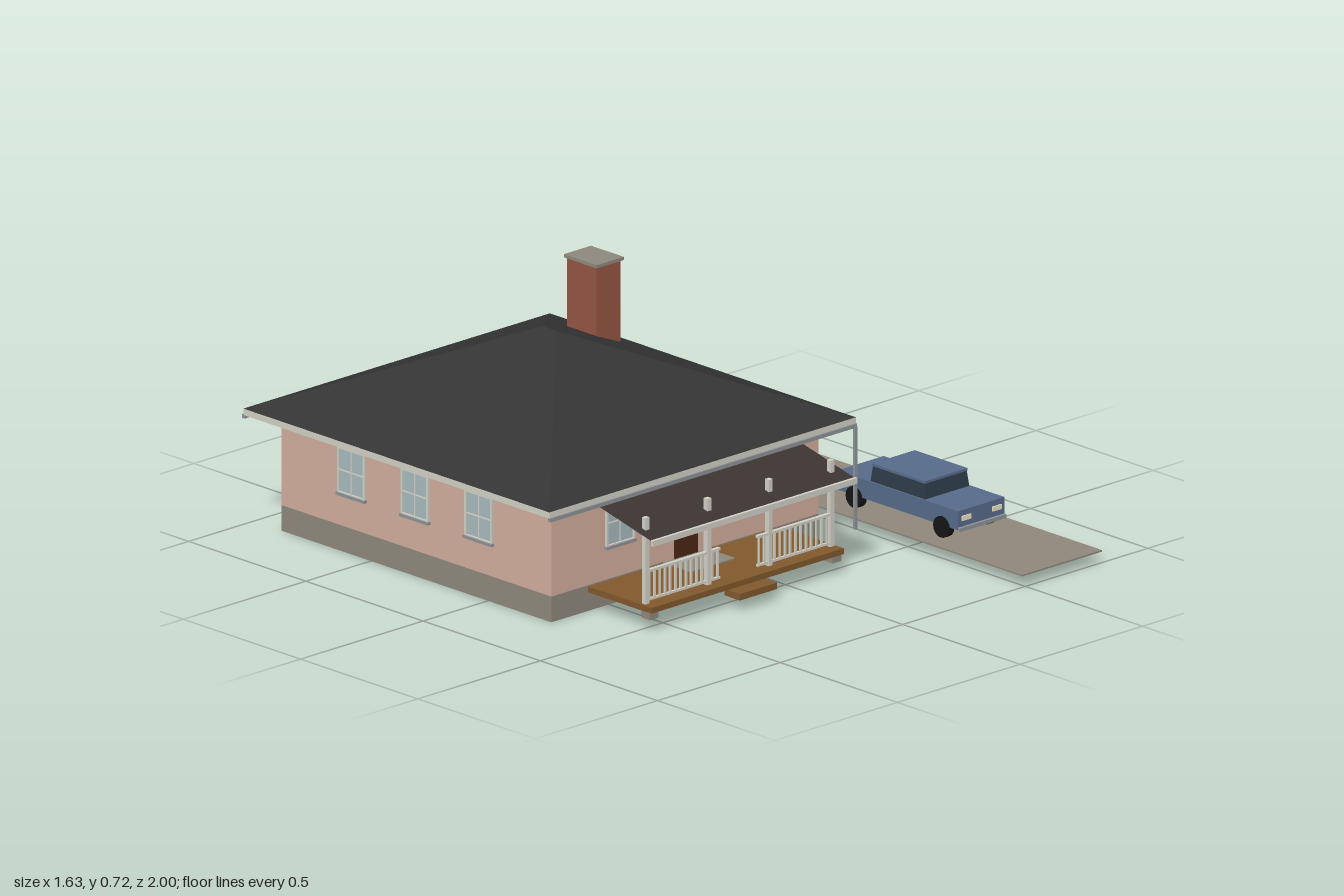
import * as THREE from 'three';

const mat = (color, side = THREE.FrontSide) => new THREE.MeshStandardMaterial({ color, side, flatShading: true });
const M = {
  wall: mat(0xd0ad9b), stone: mat(0x8d887c), roof: mat(0x343434),
  porchRoof: mat(0x3b3431, THREE.DoubleSide), trim: mat(0xd2d0c6), gutter: mat(0x8e9296),
  brick: mat(0x935542), wood: mat(0x80582c), door: mat(0x4a2616), glass: mat(0xa6b9bd),
  drive: mat(0x8f877b), paint: mat(0x566b8a), carGlass: mat(0x2c3b48), tyre: mat(0x151515), lamp: mat(0xe6e2c0),
};

// Box given by its min and max on each axis
function box(parent, name, m, x0, x1, y0, y1, z0, z1) {
  const mesh = new THREE.Mesh(new THREE.BoxGeometry(x1 - x0, y1 - y0, z1 - z0), m);
  mesh.position.set((x0 + x1) / 2, (y0 + y1) / 2, (z0 + z1) / 2);
  mesh.name = name;
  parent.add(mesh);
  return mesh;
}

// Flat polygons, each listed counter-clockwise from outside
function polygons(name, m, faces) {
  const pos = [];
  for (const f of faces)
    for (let i = 1; i < f.length - 1; i++) pos.push(...f[0], ...f[i], ...f[i + 1]);
  const g = new THREE.BufferGeometry();
  g.setAttribute('position', new THREE.Float32BufferAttribute(pos, 3));
  g.computeVertexNormals();
  const mesh = new THREE.Mesh(g, m);
  mesh.name = name;
  return mesh;
}

function group(parent, name) {
  const g = new THREE.Group();
  g.name = name;
  parent.add(g);
  return g;
}

// Sash window facing +z, centred on its opening, then turned to its wall
function addWindow(parent, x, z, turn) {
  const g = group(parent, 'window');
  const w = 0.055, h = 0.07, t = 0.007;
  box(g, 'windowGlass', M.glass, -w, w, -h, h, -0.004, 0.003);
  for (const s of [-1, 1]) {
    box(g, 'windowJamb', M.trim, s * w - t / 2, s * w + t / 2, -h, h, -0.004, 0.008);
    box(g, 'windowRail', M.trim, -w, w, s * h - t / 2, s * h + t / 2, -0.004, 0.008);
  }
  box(g, 'windowMullion', M.trim, -0.002, 0.002, -h, h, 0, 0.006);
  box(g, 'windowMeetingRail', M.trim, -w, w, -0.002, 0.002, 0, 0.006);
  box(g, 'windowSill', M.gutter, -w - 0.006, w + 0.006, -h - 0.009, -h, -0.004, 0.012);
  g.position.set(x, 0.255, z);
  g.rotation.y = turn;
}

function buildHouse(root) {
  const g = group(root, 'house');
  const X0 = -0.735, X1 = 0.355, Z0 = -0.88, Z1 = 0.27;
  box(g, 'foundation', M.stone, X0, X1, 0, 0.08, Z0, Z1);
  box(g, 'walls', M.wall, X0, X1, 0.08, 0.365, Z0, Z1);

  // Hip roof with a short ridge, above the eaves
  const x0 = -0.815, x1 = 0.435, z0 = -0.96, z1 = 0.345, y = 0.38;
  box(g, 'eaves', M.trim, x0, x1, 0.36, y, z0, z1);
  const a = [x0, y, z1], b = [x1, y, z1], c = [x1, y, z0], d = [x0, y, z0];
  const front = [-0.19, 0.643, -0.275], back = [-0.19, 0.643, -0.338];
  g.add(polygons('hipRoof', M.roof, [[a, b, front], [b, c, back, front], [c, d, back], [d, a, front, back]]));
  box(g, 'frontGutter', M.gutter, x0, x1, 0.35, 0.362, z1 - 0.006, z1 + 0.006);
  box(g, 'backGutter', M.gutter, x0, x1, 0.35, 0.362, z0 - 0.006, z0 + 0.006);
  box(g, 'downspout', M.gutter, 0.423, 0.433, 0.035, 0.355, 0.345, 0.355);

  // Chimney
  box(g, 'chimney', M.brick, 0.152, 0.25, 0.4, 0.713, -0.59, -0.465);
  box(g, 'chimneyCap', M.stone, 0.146, 0.257, 0.713, 0.723, -0.598, -0.458);

  // Doors, stoops and windows
  for (const [z, s] of [[Z1, 1], [Z0, -1]]) {
    const stoop = box(g, 'stoop', M.stone, -0.28, -0.1, 0.035, 0.08, -0.06, 0.06);
    stoop.position.z = z + s * 0.06;
    box(g, 'door', M.door, -0.235, -0.142, 0.08, 0.275, z - 0.005, z + 0.005);
    for (const x of [-0.458, 0.08]) addWindow(g, x, z, s > 0 ? 0 : Math.PI);
  }
  for (const z of [-0.035, -0.307, -0.578]) {
    addWindow(g, X1, z, Math.PI / 2);
    addWindow(g, X0, z, -Math.PI / 2);
  }
}

function buildPorch(root) {
  const g = group(root, 'porch');
  box(g, 'deck', M.wood, -0.585, 0.2, 0.058, 0.076, 0.27, 0.54);
  box(g, 'step', M.wood, -0.267, -0.115, 0.035, 0.055, 0.52, 0.585);
  for (const x of [-0.565, 0.18]) box(g, 'pier', M.stone, x - 0.018, x + 0.018, 0.035, 0.058, 0.495, 0.531);

  // Posts run up through the thin lean-to roof
  for (const x of [-0.568, -0.316, -0.066, 0.186])
    box(g, 'post', M.trim, x - 0.008, x + 0.008, 0.076, 0.345, 0.49, 0.506);
  g.add(polygons('porchRoof', M.porchRoof, [
    [[-0.605, 0.294, 0.56], [0.225, 0.294, 0.56], [0.225, 0.362, 0.27], [-0.605, 0.362, 0.27]],
  ]));
  box(g, 'porchFascia', M.trim, -0.605, 0.228, 0.278, 0.296, 0.558, 0.568);

  // Railings either side of the steps
  for (const [x0, x1] of [[-0.562, -0.268], [-0.115, 0.178]]) {
    const r = group(g, 'railing');
    box(r, 'topRail', M.trim, x0, x1, 0.172, 0.18, 0.492, 0.504);
    box(r, 'bottomRail', M.trim, x0, x1, 0.083, 0.09, 0.494, 0.502);
    for (let i = 0; i <= 13; i++) {
      const x = x0 + 0.008 + (x1 - x0 - 0.016) * i / 13;
      box(r, 'baluster', M.trim, x - 0.003, x + 0.003, 0.088, 0.174, 0.495, 0.501);
    }
  }
}

function buildCar(root) {
  const g = group(root, 'car');
  box(g, 'carBody', M.paint, 0.555, 0.745, 0.076, 0.135, 0.14, 0.655);

  // Cabin narrows slightly towards its roof
  const cabin = box(g, 'carCabin', M.carGlass, 0.56, 0.74, 0.135, 0.182, 0.277, 0.51);
  const p = cabin.geometry.attributes.position;
  for (let i = 0; i < p.count; i++)
    if (p.getY(i) > 0) p.setXYZ(i, p.getX(i) * 0.95, p.getY(i), p.getZ(i) * 0.95);
  box(g, 'carRoof', M.paint, 0.563, 0.737, 0.182, 0.19, 0.281, 0.506);

  // Wheels
  const wheel = new THREE.CylinderGeometry(0.033, 0.033, 0.024, 16).rotateZ(Math.PI / 2);
  for (const x of [0.561, 0.739])
    for (const z of [0.215, 0.588]) {
      const m = new THREE.Mesh(wheel, M.tyre);
      m.name = 'wheel';
      m.position.set(x, 0.071, z);
      g.add(m);
    }

  // Bumpers and lamps
  for (const z of [0.137, 0.658]) box(g, 'bumper', M.gutter, 0.555, 0.745, 0.072, 0.084, z - 0.006, z + 0.006);
  for (const x of [0.588, 0.712]) box(g, 'headlamp', M.lamp, x - 0.018, x + 0.018, 0.102, 0.117, 0.65, 0.659);
}

export function createModel() {
  const root = new THREE.Group();
  root.name = 'bungalow';
  buildHouse(root);
  buildPorch(root);
  box(root, 'driveway', M.drive, 0.487, 0.813, 0.034, 0.039, -0.53, 1);
  buildCar(root);
  return root;
}
